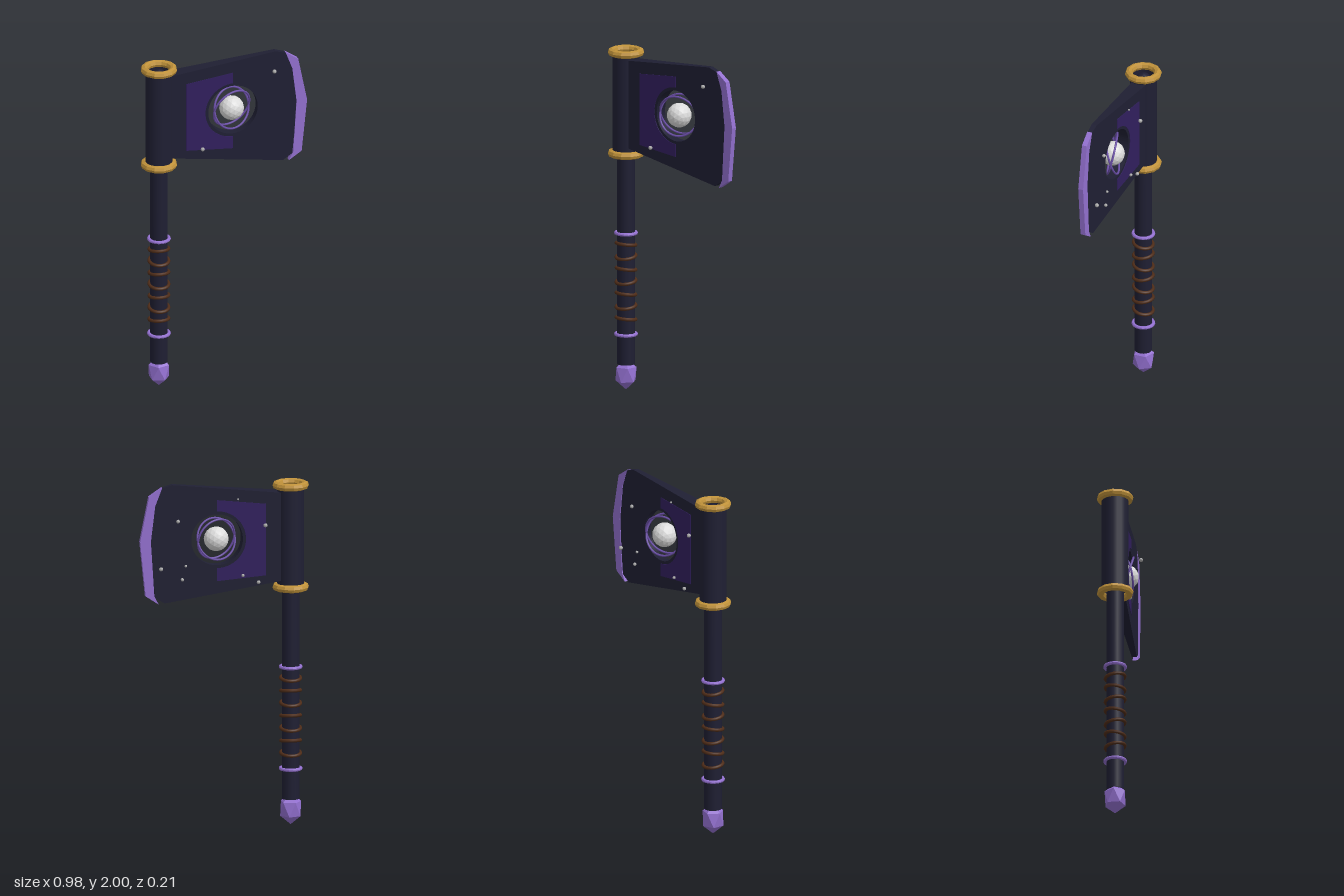
import * as THREE from 'three';

const mat = (name, color, extra = {}) => {
  const m = new THREE.MeshStandardMaterial({ color, ...extra });
  m.name = name;
  return m;
};

export function createModel() {
  const navy = mat('dark navy', 0x1f1f33);
  const navyOpen = mat('dark navy open', 0x1f1f33, { side: THREE.DoubleSide });
  const violet = mat('deep violet', 0x311f5e);
  const lilac = mat('lilac', 0x9370d0, { flatShading: true });
  const orbit = mat('orbit purple', 0x6b4fa8);
  const gold = mat('gold', 0xc0923a, { flatShading: true });
  const leather = mat('brown leather', 0x4e2c18);
  const pale = mat('pale stone', 0xdcdcdc, { flatShading: true });
  const grey = mat('grey stone', 0xa8a8a8, { flatShading: true });

  const group = new THREE.Group();
  const add = (name, geometry, material, x, y, z = 0) => {
    const mesh = new THREE.Mesh(geometry, material);
    mesh.name = name;
    mesh.position.set(x, y, z);
    group.add(mesh);
    return mesh;
  };
  const shapeOf = (points) => new THREE.Shape(points.map(([x, y]) => new THREE.Vector2(x, y)));

  const AX = -0.385; // handle axis
  const CX = 0.045, CY = 1.675; // centre of the blade opening

  // Handle with a rounded top end
  const profile = [[0, 0.15], [0.05, 0.15], [0.05, 1.92], [0.043, 1.945], [0.025, 1.963], [0, 1.97]];
  add('handle', new THREE.LatheGeometry(profile.map(([r, y]) => new THREE.Vector2(r, y)), 16), navy, AX, 0);

  // Pommel crystal, standing on a point
  const crystal = new THREE.IcosahedronGeometry(0.068, 0);
  crystal.rotateZ(Math.atan(2 / (1 + Math.sqrt(5))));
  crystal.scale(1, 1.35, 1);
  add('pommelCrystal', crystal, lilac, AX, 0.092);

  // Socket and its gold collars
  add('socket', new THREE.CylinderGeometry(0.077, 0.077, 0.59, 20, 1, true), navyOpen, AX, 1.675);
  for (const y of [1.38, 1.97]) {
    const ring = new THREE.TorusGeometry(0.083, 0.022, 8, 12);
    ring.rotateX(Math.PI / 2);
    add('collar', ring, gold, AX, y);
  }

  // Grip bands and leather wraps
  for (const y of [0.325, 0.915]) {
    const ring = new THREE.TorusGeometry(0.058, 0.01, 8, 20);
    ring.rotateX(Math.PI / 2);
    add('gripBand', ring, lilac, AX, y);
  }
  for (let i = 0; i < 7; i++) {
    const ring = new THREE.TorusGeometry(0.056, 0.01, 8, 20);
    ring.rotateX(Math.PI / 2 + (i % 2 ? 0.15 : -0.15));
    add('gripWrap', ring, leather, AX, 0.85 - i * 0.0725);
  }

  // Wedge: a flat outline whose thickness shrinks towards the cutting edge
  const wedge = (shape, lift) => {
    const g = new THREE.ExtrudeGeometry(shape, { depth: 2, bevelEnabled: false, curveSegments: 32 });
    g.translate(0, 0, -1);
    const p = g.attributes.position;
    for (let i = 0; i < p.count; i++) p.setZ(i, p.getZ(i) * (0.029 - 0.043 * p.getX(i) + lift));
    g.computeVertexNormals();
    return g;
  };

  // Blade with a round opening
  const blade = shapeOf([
    [-0.33, 1.425], [0.345, 1.315], [0.4, 1.35], [0.432, 1.675],
    [0.405, 1.9], [0.365, 1.98], [0.3, 2.0], [-0.33, 1.935],
  ]);
  const hole = new THREE.Path();
  hole.absarc(CX, CY, 0.148, 0, Math.PI * 2, true);
  blade.holes.push(hole);
  add('blade', wedge(blade, 0), navy, 0, 0);

  // Violet inlay on both faces, cut around the opening
  const inlay = new THREE.Shape();
  inlay.moveTo(-0.235, 1.46);
  inlay.lineTo(CX, 1.435);
  inlay.lineTo(CX, CY - 0.165);
  inlay.absarc(CX, CY, 0.165, -Math.PI / 2, Math.PI / 2, true);
  inlay.lineTo(CX, 1.905);
  inlay.lineTo(-0.235, 1.875);
  add('bladeInlay', wedge(inlay, 0.003), violet, 0, 0);

  // Cutting edge
  const edge = shapeOf([
    [0.38, 1.31], [0.455, 1.36], [0.487, 1.675], [0.435, 1.935], [0.36, 1.985], [0.4, 1.88], [0.425, 1.675], [0.405, 1.36],
  ]);
  const edgeGeometry = new THREE.ExtrudeGeometry(edge, { depth: 0.03, bevelEnabled: false });
  add('cuttingEdge', edgeGeometry, lilac, 0, 0, -0.015);

  // Orb and the two tilted rings around it
  add('orb', new THREE.IcosahedronGeometry(0.071, 2), pale, CX, CY);
  for (const [r, tiltX, tiltY] of [[0.12, 0.32, 0.3], [0.12, -0.25, 0.35]]) {
    add('orbRing', new THREE.TorusGeometry(r, 0.006, 8, 40), orbit, CX, CY).rotation.set(tiltX, tiltY, 0);
  }

  // Small floating stones: x, y, z, radius
  const stones = [
    [0.285, 1.89, 0.048, 0.012], [-0.14, 1.46, 0.048, 0.012],
    [0.275, 1.795, -0.05, 0.011], [-0.072, 1.91, -0.05, 0.006],
    [-0.23, 1.752, -0.05, 0.012], [0.373, 1.522, -0.05, 0.012],
    [0.23, 1.534, -0.05, 0.008], [0.25, 1.456, -0.05, 0.01],
    [-0.1, 1.466, -0.05, 0.009], [-0.19, 1.424, -0.05, 0.011],
  ];
  for (const [x, y, z, r] of stones) add('floatingStone', new THREE.IcosahedronGeometry(r, 1), grey, x, y, z);

  return group;
}
